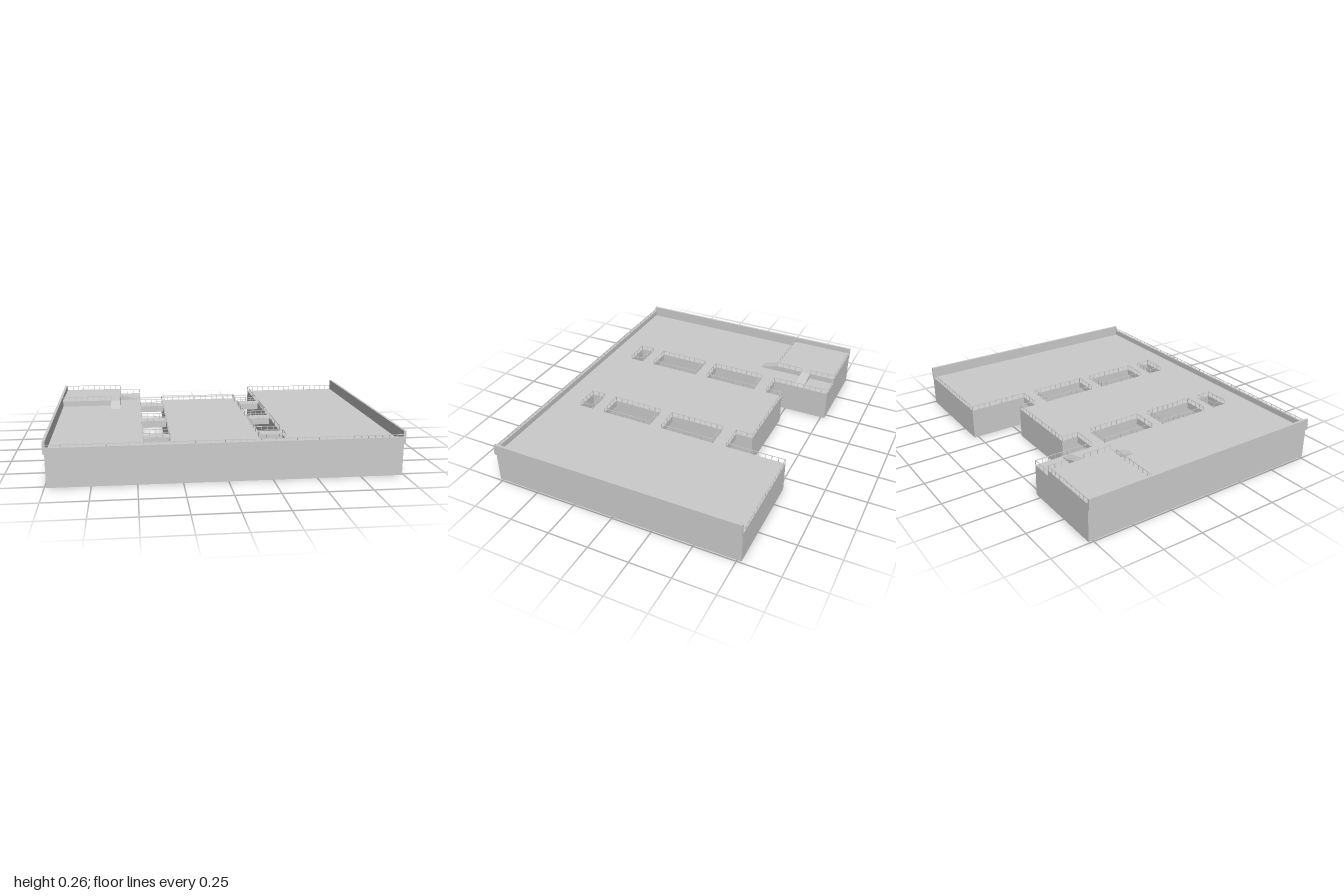
import * as THREE from 'three';

export function createModel() {
  const model = new THREE.Group();
  const mat = new THREE.MeshStandardMaterial({ color: 0xcccccc, flatShading: true });
  const DECK = 0.19, PLATFORM = 0.225, BACK = -0.775, FRONT = 0.77;

  const add = (name, geometry, parent = model) => {
    const mesh = new THREE.Mesh(geometry, mat);
    mesh.name = name;
    parent.add(mesh);
    return mesh;
  };
  // Box given by its limits on each axis
  const box = (name, x0, x1, y0, y1, z0, z1, parent) => {
    const mesh = add(name, new THREE.BoxGeometry(x1 - x0, y1 - y0, z1 - z0), parent);
    mesh.position.set((x0 + x1) / 2, (y0 + y1) / 2, (z0 + z1) / 2);
    return mesh;
  };

  // Quay body: plan outline in (x, z) with two berths open to the back
  const channels = [[-0.46, -0.31], [0.205, 0.35]];
  const channelEnd = 0.6, pierEnd = -0.515;
  const [[a, b], [c, d]] = channels;
  const outline = [
    [-0.99, FRONT], [0.99, FRONT], [0.99, BACK], [d, BACK], [d, channelEnd], [c, channelEnd],
    [c, pierEnd], [b, pierEnd], [b, channelEnd], [a, channelEnd], [a, BACK], [-0.99, BACK],
  ].map(([x, z]) => new THREE.Vector2(x, -z));
  const body = new THREE.ExtrudeGeometry(new THREE.Shape(outline), { depth: DECK, bevelEnabled: false });
  body.rotateX(-Math.PI / 2);
  add('quayBody', body);

  // Bridges across the berths
  const bridges = [[-0.41, -0.32], [0.02, 0.105], [0.425, 0.515]];
  for (const [x0, x1] of channels)
    for (const [z0, z1] of bridges) box('bridge', x0, x1, DECK - 0.04, DECK, z0, z1);

  // Outer walls
  for (const s of [-1, 1])
    box('sideWall', Math.min(s, s * 0.985), Math.max(s, s * 0.985), 0.187, 0.258, BACK, FRONT);
  box('frontWall', -0.995, 0.995, 0.187, 0.225, 0.765, 0.78);

  // Raised corner platform with two ramps
  box('platform', -0.985, -0.6, DECK, PLATFORM, BACK, -0.375);
  const ramp = (length, width) => {
    const s = new THREE.Shape([[0, 0], [length, 0], [0, PLATFORM - DECK]].map((p) => new THREE.Vector2(...p)));
    return new THREE.ExtrudeGeometry(s, { depth: width, bevelEnabled: false });
  };
  add('sideRamp', ramp(0.13, 0.06)).position.set(-0.6, DECK, -0.61);
  const frontRamp = add('frontRamp', ramp(0.115, 0.06));
  frontRamp.rotation.y = -Math.PI / 2;
  frontRamp.position.set(-0.6, DECK, -0.375);

  // Railings: evenly spaced posts under a thin top rail
  const T = 0.003;
  const railing = (x0, z0, x1, z1, y, h = 0.03) => {
    const g = new THREE.Group();
    g.name = 'railing';
    model.add(g);
    const length = Math.hypot(x1 - x0, z1 - z0);
    const n = Math.max(2, Math.round(length / 0.04));
    for (let i = 0; i <= n; i++) {
      const x = x0 + ((x1 - x0) * i) / n, z = z0 + ((z1 - z0) * i) / n;
      box('railPost', x - T / 2, x + T / 2, y, y + h, z - T / 2, z + T / 2, g);
    }
    box('topRail', Math.min(x0, x1) - T / 2, Math.max(x0, x1) + T / 2, y + h - T, y + h,
      Math.min(z0, z1) - T / 2, Math.max(z0, z1) + T / 2, g);
  };

  // Around the openings between the bridges
  const e = 0.002;
  const openings = [[-0.32, 0.02], [0.105, 0.425], [0.515, channelEnd]];
  for (const [x0, x1] of channels) {
    for (const [z0, z1] of openings) {
      railing(x0 - e, z0, x0 - e, z1, DECK);
      railing(x1 + e, z0, x1 + e, z1, DECK);
      railing(x0, z0 - e, x1, z0 - e, DECK);
      railing(x0, z1 + e, x1, z1 + e, DECK);
    }
    railing(x0, -0.41 + e, x1, -0.41 + e, DECK);
  }
  // Along the back edges of the deck and pier
  railing(a - e, BACK + e, a - e, -0.41, DECK);
  railing(-0.6, BACK + e, a, BACK + e, DECK);
  railing(b + e, pierEnd + e, b + e, -0.41, DECK);
  railing(b, pierEnd + e, c, pierEnd + e, DECK);
  railing(c - e, pierEnd + e, c - e, -0.41, DECK);
  railing(d + e, BACK + e, d + e, -0.41, DECK);
  railing(d, BACK + e, 0.985, BACK + e, DECK);
  // On the platform, leaving the ramps clear
  railing(-0.985, BACK + e, -0.6, BACK + e, PLATFORM);
  railing(-0.6 - e, BACK + e, -0.6 - e, -0.61, PLATFORM);
  railing(-0.6 - e, -0.55, -0.6 - e, -0.375, PLATFORM);
  railing(-0.985, -0.375 - e, -0.66, -0.375 - e, PLATFORM);
  // On the front wall
  railing(-0.985, 0.772, 0.985, 0.772, 0.225, 0.015);

  return model;
}
